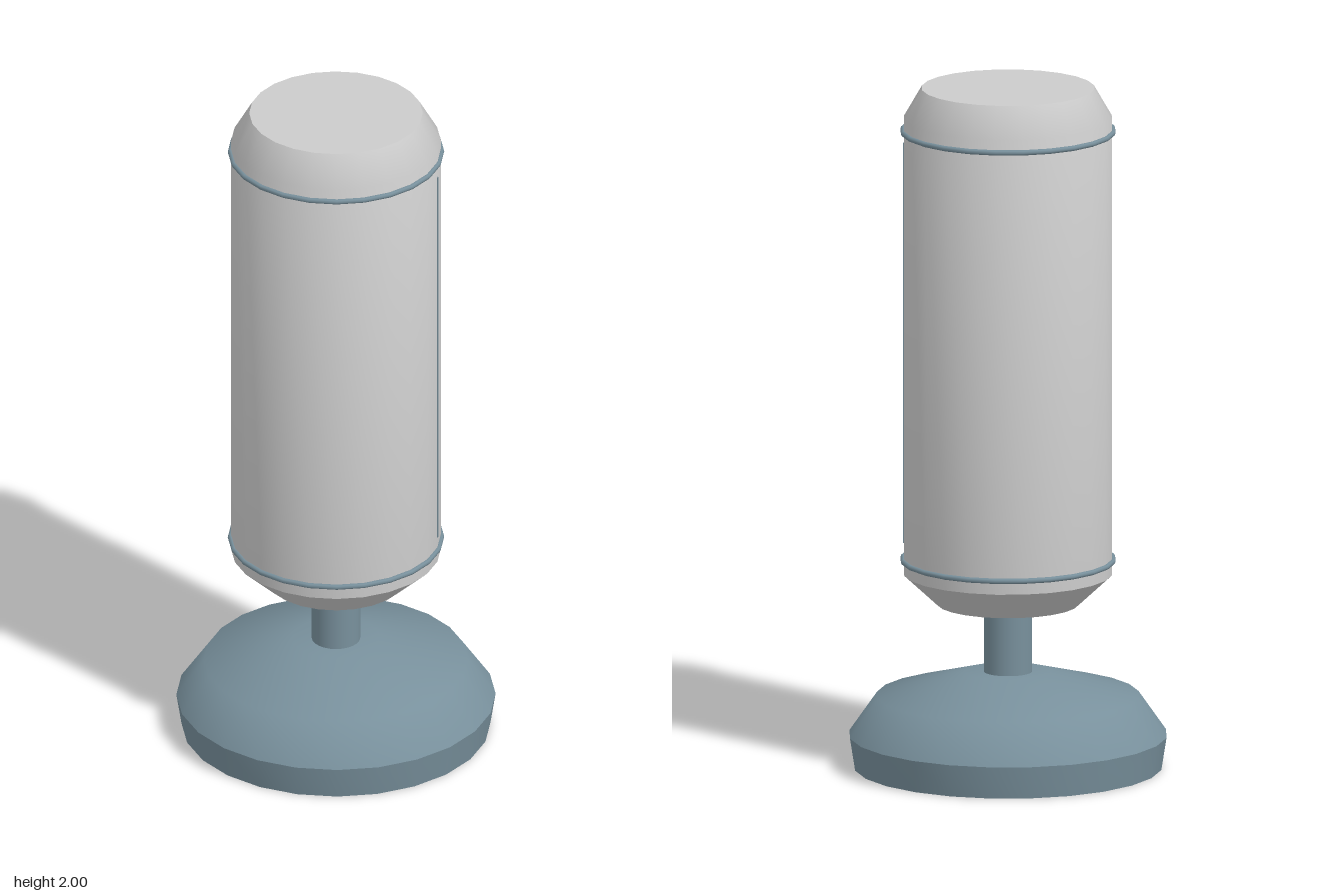
import * as THREE from 'three';
import { toCreasedNormals } from 'three/addons/utils/BufferGeometryUtils.js';

const SIDES = 24;
const shell = new THREE.MeshStandardMaterial({ color: 0xbcc0bd });
const trim = new THREE.MeshStandardMaterial({ color: 0x78909c });

export function createModel() {
  const model = new THREE.Group();

  const add = (name, geometry, material, x = 0, y = 0, z = 0) => {
    const mesh = new THREE.Mesh(geometry, material);
    mesh.name = name;
    mesh.position.set(x, y, z);
    model.add(mesh);
    return mesh;
  };

  // Turned solid from a bottom-to-top profile; only steep corners stay sharp
  const turned = (profile) => toCreasedNormals(
    new THREE.LatheGeometry(profile.map(([r, y]) => new THREE.Vector2(r, y)), SIDES), 0.75);

  // Wide weighted foot
  add('base', turned([[0, 0], [0.445, 0], [0.46, 0.095], [0.38, 0.21], [0.125, 0.28], [0, 0.28]]), trim);

  // Short post between foot and body
  add('post', new THREE.CylinderGeometry(0.07, 0.07, 0.24, SIDES), trim, 0, 0.38);

  // Padded cylinder with chamfered ends
  add('body', turned([[0, 0.48], [0.205, 0.48], [0.302, 0.57], [0.302, 1.91], [0.25, 2], [0, 2]]), shell);

  // Piping around both ends
  for (const [name, y] of [['lowerPiping', 0.61], ['upperPiping', 1.873]]) {
    add(name, new THREE.TorusGeometry(0.304, 0.008, 8, SIDES), trim, 0, y).rotation.x = Math.PI / 2;
  }

  // Vertical seam on the left side
  add('seam', new THREE.BoxGeometry(0.008, 1.18, 0.006), trim, 0.3, 1.24);

  return model;
}
